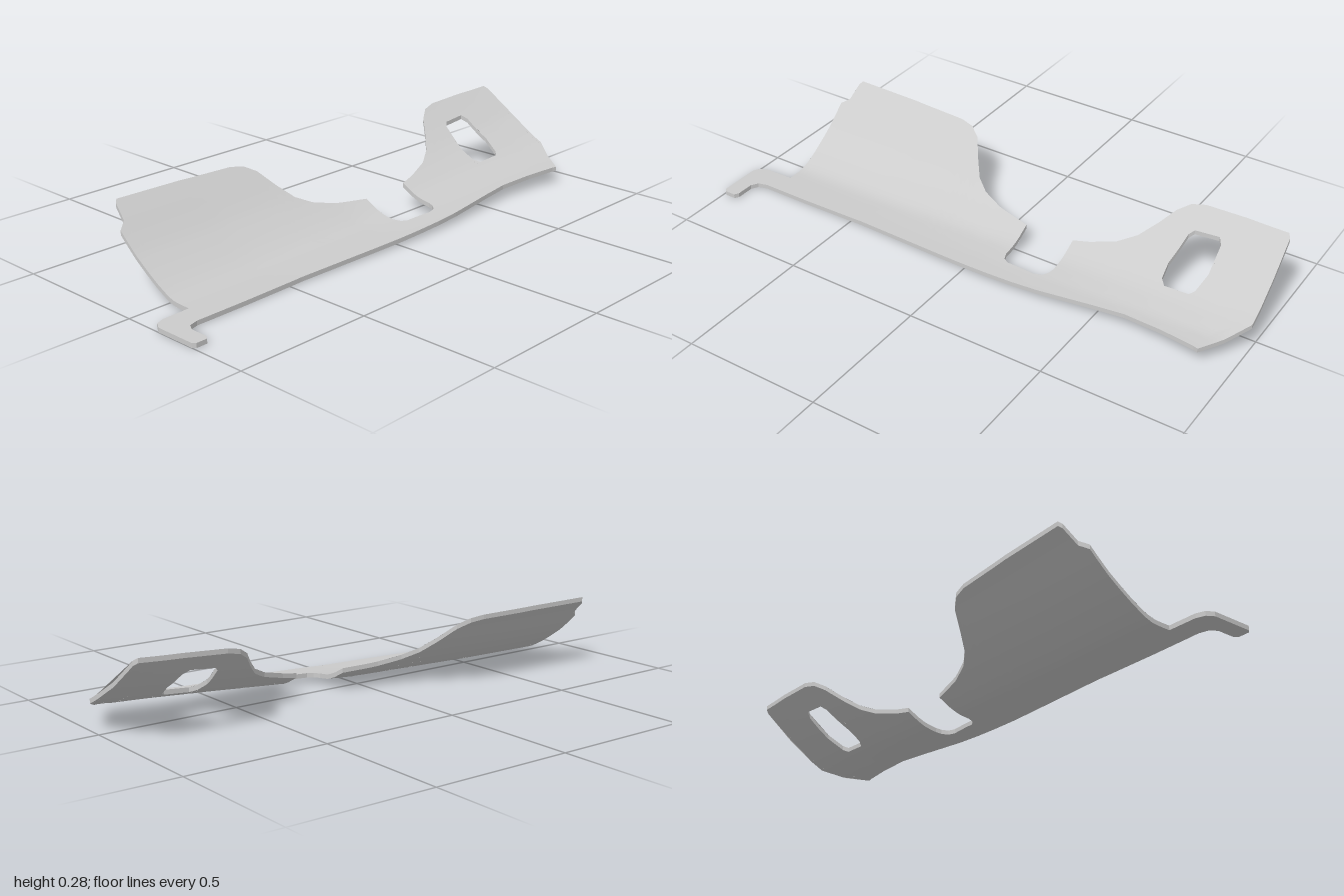
import * as THREE from 'three';

const THICK = 0.016;

// Plan outline as [x, z], with the hooked tab at the start and end
const outline = [
  [-0.99, 0.3], [-1, 0.29], [-1, 0.14], [-0.985, 0.115], [-0.955, 0.103], [-0.85, 0.1],
  [-0.85, -0.22], [-0.82, -0.24], [-0.81, -0.29], [-0.8, -0.3], [-0.55, -0.295], [-0.33, -0.285],
  [-0.28, -0.275], [-0.24, -0.25], [-0.2, -0.195], [-0.16, -0.145], [-0.11, -0.11], [-0.03, -0.08],
  [0.1, -0.05], [0.1, 0.08], [0.11, 0.105], [0.13, 0.118], [0.17, 0.12], [0.24, 0.127],
  [0.27, 0.12], [0.285, 0.1], [0.29, 0.08], [0.29, -0.045], [0.35, -0.055], [0.44, -0.08],
  [0.5, -0.115], [0.55, -0.165], [0.59, -0.21], [0.63, -0.235], [0.68, -0.243], [0.83, -0.238],
  [0.98, -0.228], [0.99, -0.215], [1, 0], [1, 0.05], [0.89, 0.205], [0.875, 0.2],
  [0.75, 0.18], [0.61, 0.168], [0.5, 0.177], [0.3, 0.198], [0.2, 0.203], [0.1, 0.203],
  [-0.1, 0.197], [-0.45, 0.183], [-0.7, 0.186], [-0.89, 0.185], [-0.925, 0.195], [-0.94, 0.22],
  [-0.94, 0.285], [-0.95, 0.3],
];

// Window, wound the other way
const windowHole = [
  [0.68, -0.17], [0.77, -0.17], [0.785, -0.15], [0.79, -0.06], [0.775, 0],
  [0.76, 0.015], [0.67, 0.012], [0.65, -0.01], [0.645, -0.06], [0.665, -0.155],
].reverse();

// Height profiles [z, y] at the two ends and the blend between them along x
const leftProfile = [[-0.3, 0.24], [-0.25, 0.196], [-0.2, 0.149], [-0.15, 0.105], [-0.1, 0.07],
  [-0.05, 0.038], [0, 0.012], [0.03, 0.002], [0.06, 0], [0.3, 0]];
const rightProfile = [[-0.3, 0.33], [-0.24, 0.28], [-0.2, 0.248], [-0.1, 0.172], [0, 0.113],
  [0.05, 0.088], [0.13, 0.06], [0.2, 0.055], [0.3, 0.055]];
const blend = [[-1, 0], [-0.85, 0], [-0.5, 0.04], [0, 0.18], [0.3, 0.4], [0.6, 0.65], [0.9, 0.9], [1, 1]];

function lookup(table, v) {
  let i = 0;
  while (i < table.length - 2 && v > table[i + 1][0]) i++;
  const [a, ya] = table[i], [b, yb] = table[i + 1];
  return ya + (yb - ya) * (v - a) / (b - a);
}
const height = (x, z) => THREE.MathUtils.lerp(lookup(leftProfile, z), lookup(rightProfile, z), lookup(blend, x));

function surfaceNormal(x, z, sign) {
  const e = 0.02;
  const dx = (height(x + e, z) - height(x - e, z)) / (2 * e);
  const dz = (height(x, z + e) - height(x, z - e)) / (2 * e);
  return new THREE.Vector3(-dx, 1, -dz).normalize().multiplyScalar(sign);
}

// Each loop as a list of edges
const loopEdges = (loop) => loop.map((p, i) => [p, loop[(i + 1) % loop.length]]);

// Cover the plan with four-sided cells: slabs in x, split between facing edges in z
function planCells() {
  const edges = [...loopEdges(outline), ...loopEdges(windowHole)];
  const xs = edges.map(([p]) => p[0]);
  for (let i = 0; i <= 40; i++) xs.push(+(-1 + i * 0.05).toFixed(3));
  const stations = [...new Set(xs)].sort((a, b) => a - b);
  const zOn = ([p, q], x) => p[1] + (q[1] - p[1]) * (x - p[0]) / (q[0] - p[0]);
  const cells = [];
  for (let i = 0; i < stations.length - 1; i++) {
    const x0 = stations[i], x1 = stations[i + 1], mid = (x0 + x1) / 2;
    const crossing = edges
      .filter(([p, q]) => (p[0] < mid) !== (q[0] < mid))
      .sort((a, b) => zOn(a, mid) - zOn(b, mid));
    for (let k = 0; k + 1 < crossing.length; k += 2) {
      const [back, front] = [crossing[k], crossing[k + 1]];
      const n = Math.max(2, Math.ceil((zOn(front, mid) - zOn(back, mid)) / 0.025));
      const at = (x, j) => [x, THREE.MathUtils.lerp(zOn(back, x), zOn(front, x), j / n)];
      for (let j = 0; j < n; j++) cells.push([at(x0, j), at(x0, j + 1), at(x1, j + 1), at(x1, j)]);
    }
  }
  return cells;
}

function toMesh(name, positions, normals, material) {
  const g = new THREE.BufferGeometry();
  g.setAttribute('position', new THREE.Float32BufferAttribute(positions, 3));
  if (normals) g.setAttribute('normal', new THREE.Float32BufferAttribute(normals, 3));
  else g.computeVertexNormals();
  const mesh = new THREE.Mesh(g, material);
  mesh.name = name;
  return mesh;
}

function skin(name, cells, lift, sign, material) {
  const pos = [], nor = [];
  const order = sign > 0 ? [0, 1, 2, 0, 2, 3] : [0, 2, 1, 0, 3, 2];
  for (const cell of cells) {
    for (const i of order) {
      const [x, z] = cell[i];
      pos.push(x, height(x, z) + lift, z);
      nor.push(...surfaceNormal(x, z, sign).toArray());
    }
  }
  return toMesh(name, pos, nor, material);
}

// Narrow wall that joins the two skins along a loop
function rim(name, loop, material) {
  const pos = [];
  for (const [p, q] of loopEdges(loop)) {
    const n = Math.max(1, Math.ceil(Math.hypot(q[0] - p[0], q[1] - p[1]) / 0.025));
    const at = (t, lift) => {
      const x = THREE.MathUtils.lerp(p[0], q[0], t), z = THREE.MathUtils.lerp(p[1], q[1], t);
      return [x, height(x, z) + lift, z];
    };
    for (let i = 0; i < n; i++) {
      const a = i / n, b = (i + 1) / n;
      pos.push(...at(b, 0), ...at(a, 0), ...at(a, THICK));
      pos.push(...at(b, 0), ...at(a, THICK), ...at(b, THICK));
    }
  }
  return toMesh(name, pos, null, material);
}

export function createModel() {
  const group = new THREE.Group();
  group.name = 'curvedTrimPanel';
  const material = new THREE.MeshStandardMaterial({ color: 0xcccccc, side: THREE.DoubleSide });
  const cells = planCells();
  group.add(
    skin('upperSkin', cells, THICK, 1, material),
    skin('underSkin', cells, 0, -1, material),
    rim('outerRim', outline, material),
    rim('windowRim', windowHole, material),
  );
  return group;
}
